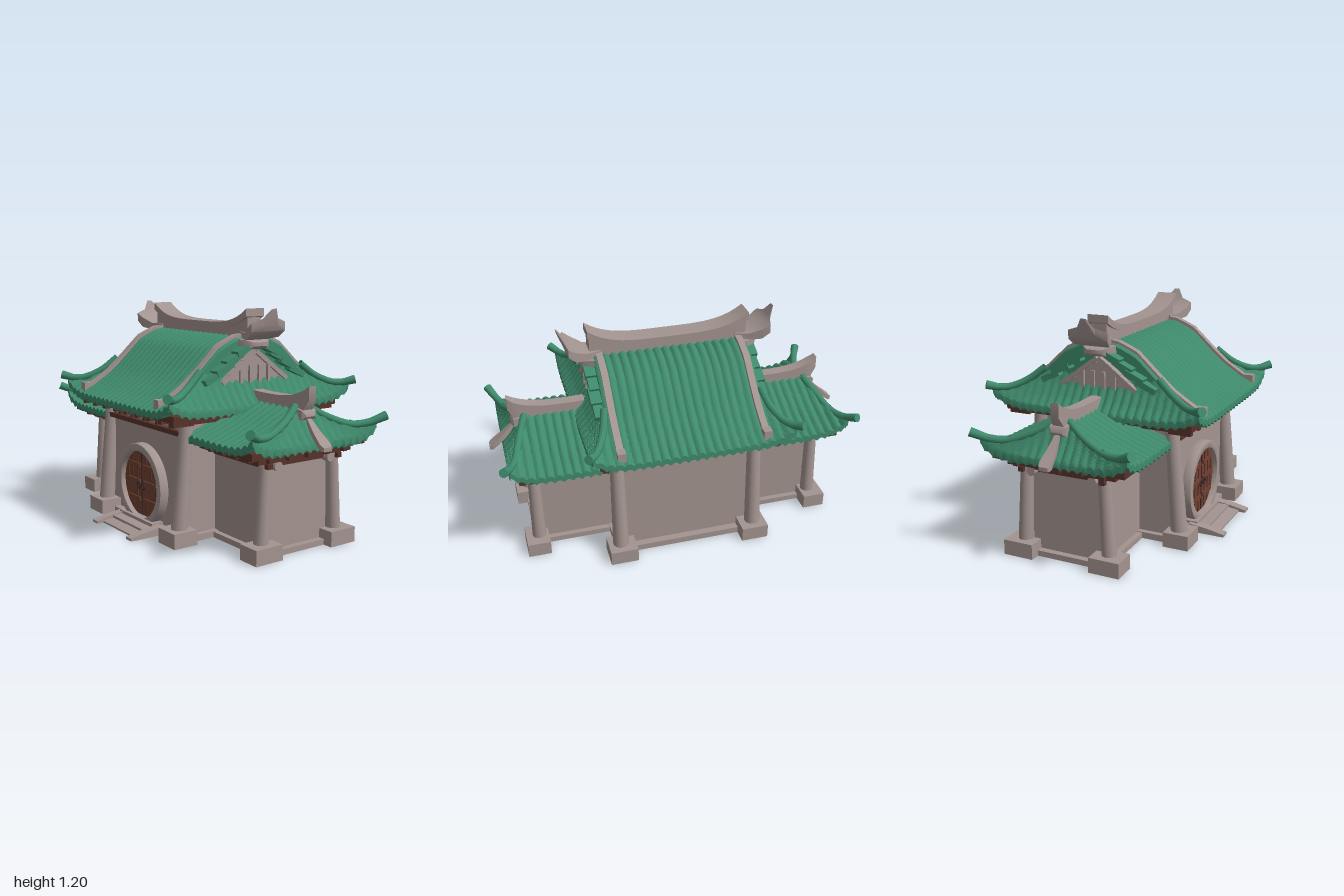
import * as THREE from 'three';
import { toCreasedNormals } from 'three/addons/utils/BufferGeometryUtils.js';

const mat = (name, color, side = THREE.FrontSide) => {
  const m = new THREE.MeshStandardMaterial({ color, side });
  m.name = name;
  return m;
};

export function createModel() {
  const model = new THREE.Group();
  model.name = 'templeGatehouse';
  const stone = mat('stone', 0xa39490);
  const green = mat('greenTile', 0x3f8a6c, THREE.DoubleSide);
  const wood = mat('darkWood', 0x58332a);
  const doorWood = mat('doorWood', 0x70402f);
  const iron = mat('iron', 0x40282a);

  const add = (name, geo, m) => {
    const mesh = new THREE.Mesh(geo, m);
    mesh.name = name;
    model.add(mesh);
    return mesh;
  };
  const box = (name, m, w, h, d, x, y, z) => {
    const b = add(name, new THREE.BoxGeometry(w, h, d), m);
    b.position.set(x, y, z);
    return b;
  };
  // tapered round post between two points
  const rod = (name, m, a, b, ra, rb) => {
    const A = new THREE.Vector3(...a), B = new THREE.Vector3(...b), d = B.clone().sub(A);
    const r = add(name, new THREE.CylinderGeometry(rb, ra, d.length(), 14), m);
    r.position.copy(A).addScaledVector(d, 0.5);
    r.quaternion.setFromUnitVectors(new THREE.Vector3(0, 1, 0), d.normalize());
  };
  const tube = (name, m, pts, r) => add(name, new THREE.TubeGeometry(
    new THREE.CatmullRomCurve3(pts.map(p => new THREE.Vector3(...p))), 24, r, 8), m);
  // rectangular sections [x, bottom, top, halfDepth] joined along +x
  const loft = (name, m, secs, turn = 0) => {
    const pos = [], idx = [], n = secs.length;
    for (const [x, b, t, w] of secs) pos.push(x, t, w, x, t, -w, x, b, -w, x, b, w);
    for (let i = 0; i < n - 1; i++) for (let k = 0; k < 4; k++) {
      const a = i * 4 + k, c = i * 4 + (k + 1) % 4;
      idx.push(a, a + 4, c, c, a + 4, c + 4);
    }
    const e = (n - 1) * 4;
    idx.push(0, 1, 2, 0, 2, 3, e, e + 2, e + 1, e, e + 3, e + 2);
    const g = new THREE.BufferGeometry();
    g.setAttribute('position', new THREE.Float32BufferAttribute(pos, 3));
    g.setIndex(idx);
    add(name, toCreasedNormals(g, 0.7), m).rotation.y = turn;
  };
  // ribbed tile surface: fn(u, t), ribs spaced along the given axis, with a lip at the eave
  const tiles = (name, fn, axis, nu, nv = 14) => {
    const pos = [], idx = [];
    for (let j = 0; j <= nv + 2; j++) for (let i = 0; i <= nu; i++) {
      const u = i / nu * 2 - 1;
      const p = fn(u, Math.min(1, j / nv));
      p.y += 0.016 * Math.abs(Math.sin(Math.PI * p[axis] / 0.047)) - 0.004;
      if (j > nv) p.y -= 0.032;
      if (j > nv + 1) { const q = fn(u, 0.88); p.x = q.x; p.z = q.z; }
      pos.push(p.x, p.y, p.z);
    }
    const w = nu + 1;
    for (let j = 0; j < nv + 2; j++) for (let i = 0; i < nu; i++) {
      const a = j * w + i;
      idx.push(a, a + w, a + 1, a + 1, a + w, a + w + 1);
    }
    const g = new THREE.BufferGeometry();
    g.setAttribute('position', new THREE.Float32BufferAttribute(pos, 3));
    g.setIndex(idx);
    add(name, toCreasedNormals(g, 0.9), green);
  };
  const profile = (pts) => (z) => {
    for (let i = 1; i < pts.length; i++) if (z <= pts[i][0] + 1e-6) {
      const [a, b] = [pts[i - 1], pts[i]];
      return a[1] + (b[1] - a[1]) * (z - a[0]) / (b[0] - a[0]);
    }
    return pts[pts.length - 1][1];
  };
  const V = (x, y, z) => new THREE.Vector3(x, y, z);
  const mainY = profile([[0, 1.04], [0.1, 1.03], [0.2, 0.985], [0.26, 0.93], [0.33, 0.865], [0.4, 0.805], [0.5, 0.74], [0.59, 0.695]]);
  const wingY = profile([[0, 0.73], [0.1, 0.685], [0.2, 0.635], [0.3, 0.595], [0.4, 0.56]]);
  const mainX = (t) => 0.42 + 0.115 * Math.pow(Math.max(0, t), 1.2);
  const lift = (u, t) => 0.065 * Math.pow(Math.abs(u), 8) * Math.pow(Math.max(0, t), 2);

  // walls and foundations
  box('mainWalls', stone, 0.74, 0.66, 0.78, 0, 0.33, 0);
  box('mainFoundation', stone, 0.8, 0.035, 0.86, 0, 0.0175, 0);
  box('wingWalls', stone, 1.57, 0.53, 0.4, 0, 0.265, 0);
  box('wingFoundation', stone, 1.64, 0.03, 0.46, 0, 0.015, 0);
  // eave boards
  box('mainEaveBoard', wood, 0.98, 0.035, 1.07, 0, 0.668, 0);
  box('mainEaveBeam', wood, 0.86, 0.03, 0.94, 0, 0.638, 0);
  box('wingEaveBoard', wood, 1.77, 0.035, 0.73, 0, 0.535, 0);
  box('wingEaveBeam', wood, 1.7, 0.04, 0.6, 0, 0.505, 0);

  for (const sz of [1, -1]) {
    // main roof slope, lintel and brackets
    tiles('mainRoofSlope', (u, t) => {
      const z = 0.59 * t, k = (z - 0.33) / 0.26;
      return V(u * mainX(k), mainY(z) + lift(u, k), z * sz);
    }, 'x', 200, 20);
    box('mainLintel', wood, 0.72, 0.026, 0.03, 0, 0.567, 0.405 * sz);
    for (let i = -2; i <= 2; i++) box('lintelPost', wood, 0.02, 0.06, 0.02, i * 0.13, 0.6, 0.4 * sz);
    for (let i = -4; i <= 4; i++) box('rafterEnd', wood, 0.03, 0.03, 0.12, i * 0.115, 0.643, 0.465 * sz);
  }

  for (const sx of [1, -1]) {
    const turn = sx > 0 ? 0 : Math.PI;
    // lower side roof of the main hall and the gable above it
    tiles('mainSideRoof', (u, t) => {
      const z = 0.33 + 0.26 * t;
      return V(sx * mainX(t), mainY(z) + lift(u, t), u * z);
    }, 'z', 200);
    const gable = new THREE.Shape();
    gable.moveTo(-0.34, 0.78);
    for (let i = -17; i <= 17; i++) gable.lineTo(i * 0.02, mainY(Math.abs(i * 0.02)));
    gable.lineTo(0.34, 0.78);
    const face = add('gableFace', new THREE.ShapeGeometry(gable), green);
    face.rotation.y = Math.PI / 2;
    face.position.x = sx * 0.416;
    loft('pediment', stone, [[0.41, 0.815, 0.83, 0.19], [0.438, 0.815, 0.83, 0.19]], turn);
    const tri = new THREE.Shape([[-0.18, 0.81], [0.18, 0.81], [0.13, 0.89], [0.05, 0.95], [-0.05, 0.95], [-0.13, 0.89]]
      .map(p => new THREE.Vector2(...p)));
    const ped = add('pedimentPanel', new THREE.ExtrudeGeometry(tri, { depth: 0.02, bevelEnabled: false }), stone);
    ped.rotation.y = sx * Math.PI / 2;
    ped.position.x = sx * 0.418;
    for (const z of [-0.09, -0.03, 0.03, 0.09])
      box('pedimentPost', stone, 0.016, 0.09, 0.018, sx * 0.444, 0.855, z);

    // side roof of the wing
    const wingX = (t) => 0.81 + 0.12 * t;
    tiles('wingSideRoof', (u, t) => V(sx * wingX(t), wingY(0.4 * t) + lift(u, t), u * 0.4 * t), 'z', 140);
    box('wingSideBeam', wood, 0.03, 0.028, 0.36, sx * 0.8, 0.47, 0);
    for (const z of [-0.24, -0.12, 0, 0.12, 0.24]) box('sideRafter', wood, 0.09, 0.03, 0.025, sx * 0.83, 0.505, z);

    // flaring horn at the end of the main ridge, and its saddle
    loft('ridgeHorn', stone, [[0.37, 1.03, 1.07, 0.05], [0.45, 1.03, 1.07, 0.07], [0.51, 1.045, 1.1, 0.1],
      [0.55, 1.08, 1.125, 0.11], [0.565, 1.11, 1.145, 0.05], [0.595, 1.185, 1.195, 0.015]], turn);
    loft('gableSaddle', stone, [[0.39, 0.98, 1.04, 0.1], [0.47, 0.985, 1.03, 0.07], [0.49, 1.0, 1.02, 0.04]], turn);

    // wing ridge with upswept end, and the spout below
    const ridge = [];
    for (let i = 0; i <= 10; i++) {
      const x = 0.4 + 0.045 * i;
      ridge.push([x, 0.715, 0.772 + 0.025 * Math.pow(Math.abs(i - 4) / 5, 3), 0.032]);
    }
    ridge.push([0.885, 0.77, 0.84, 0.022]);
    loft('wingRidge', stone, ridge, turn);
    loft('wingRidgeFoot', stone, [[0.78, 0.68, 0.735, 0.045], [0.86, 0.675, 0.72, 0.045], [0.875, 0.69, 0.7, 0.03]], turn);
    loft('wingSpout', stone, [[0.86, 0.645, 0.685, 0.012], [0.92, 0.59, 0.625, 0.024], [0.98, 0.545, 0.575, 0.034], [1, 0.54, 0.56, 0.025]], turn);

    for (const sz of [1, -1]) {
      // columns on plinths
      box('mainPlinth', stone, 0.15, 0.08, 0.14, sx * 0.375, 0.04, sz * 0.44);
      rod('mainColumn', stone, [sx * 0.38, 0.06, sz * 0.435], [sx * 0.38, 0.65, sz * 0.385], 0.044, 0.036);
      box('wingPlinth', stone, 0.125, 0.08, 0.165, sx * 0.812, 0.04, sz * 0.243);
      rod('wingColumn', stone, [sx * 0.8, 0.06, sz * 0.24], [sx * 0.8, 0.52, sz * 0.215], 0.039, 0.032);
      rod('beamEnd', stone, [sx * 0.8, 0.463, sz * 0.17], [sx * 0.845, 0.463, sz * 0.17], 0.024, 0.024);
      box('wingBeam', wood, 0.44, 0.026, 0.03, sx * 0.63, 0.468, sz * 0.225);
      for (let i = 0; i < 4; i++) box('wingRafter', wood, 0.028, 0.03, 0.08, sx * (0.5 + i * 0.1), 0.507, sz * 0.29);

      // wing roof slope
      tiles('wingRoofSlope', (u, t) => {
        const k = (u + 1) / 2;
        return V(sx * (0.4 + (wingX(t) - 0.4) * k), wingY(0.4 * t) + lift(k, t), sz * 0.4 * t);
      }, 'x', 110);

      // upturned hip rolls with round ends
      const hips = [
        [[0.42, 0.885, 0.33], [0.447, 0.815, 0.42], [0.49, 0.775, 0.51], [0.525, 0.775, 0.57], [0.56, 0.79, 0.615]],
        [[0.8, 0.735, 0.03], [0.845, 0.67, 0.14], [0.885, 0.625, 0.27], [0.925, 0.635, 0.37], [0.96, 0.665, 0.437]]];
      for (const pts of hips) {
        const p = pts.map(([x, y, z]) => [sx * x, y, sz * z]);
        tube('hipRoll', green, p, 0.02);
        rod('hipEnd', green, p[3], p[4], 0.02, 0.024);
      }

      // stone strip running down the main slope
      const strip = [];
      for (let i = 0; i <= 10; i++) {
        const z = 0.04 + 0.053 * i;
        strip.push([z, mainY(z) - 0.01, mainY(z) + 0.026, 0.018]);
      }
      loft('slopeStrip', stone, strip, -sz * Math.PI / 2);
      model.children[model.children.length - 1].position.x = sx * 0.385;
      box('stripFoot', stone, 0.045, 0.05, 0.05, sx * 0.385, 0.735, sz * 0.545);

      // stepped tile courses along the gable edge
      for (let i = 0; i < 4; i++) {
        const c = box('gableCourse', green, 0.085 - (i % 2) * 0.015, 0.03, 0.11, sx * 0.432, 0.985 - i * 0.045, sz * (0.08 + i * 0.065));
        c.rotation.x = sz * 0.42;
        const rake = box('pedimentRake', stone, 0.03, 0.022, 0.09, sx * 0.44, 0.945 - i * 0.034, sz * (0.04 + i * 0.045));
        rake.rotation.x = sz * 0.62;
      }
    }
  }

  // main ridge, sagging in the middle
  const body = [], cap = [];
  for (let i = -12; i <= 12; i++) {
    const x = i * 0.036, r = Math.pow(Math.abs(i) / 12, 4), top = 1.095 + 0.07 * r;
    body.push([x, 1.02 + 0.02 * r, top, 0.043]);
    cap.push([x * 1.02, top - 0.015, top + 0.014 + 0.012 * r, 0.058]);
  }
  loft('mainRidge', stone, body);
  loft('mainRidgeCap', stone, cap);

  // moon gate with double door
  const cx = -0.015, cy = 0.228;
  const ring = new THREE.Shape().absarc(0, 0, 0.227, 0, Math.PI * 2);
  ring.holes.push(new THREE.Path().absarc(0, 0, 0.185, 0, Math.PI * 2));
  const surround = add('moonGateSurround', toCreasedNormals(new THREE.ExtrudeGeometry(ring,
    { depth: 0.05, bevelSize: 0.006, bevelThickness: 0.006, bevelOffset: -0.006, bevelSegments: 2, curveSegments: 40 }), 0.6), stone);
  surround.position.set(cx, cy, 0.385);
  const leaf = add('doorLeaves', new THREE.CircleGeometry(0.188, 48), doorWood);
  leaf.position.set(cx, cy, 0.412);
  box('doorSeam', iron, 0.008, 0.35, 0.006, cx, cy, 0.413);
  for (const s of [1, -1]) {
    for (const [x, h] of [[0.045, 0.34], [0.095, 0.3], [0.14, 0.22]])
      box('doorStile', wood, 0.006, h, 0.006, cx + s * x, cy, 0.413);
    for (const y of [-0.09, 0.01, 0.1]) box('doorRail', doorWood, 0.125, 0.022, 0.009, cx + s * 0.08, cy + y, 0.416);
    const pull = add('doorPull', new THREE.TorusGeometry(0.016, 0.005, 8, 20), iron);
    pull.position.set(cx + s * 0.022, cy - 0.01, 0.422);
  }

  // doorstep and sloping apron with side rails
  box('threshold', stone, 0.34, 0.05, 0.07, cx, 0.025, 0.425);
  box('doorStep', stone, 0.4, 0.032, 0.1, 0, 0.016, 0.47);
  loft('apron', stone, [[0.45, 0, 0.028, 0.17], [0.58, 0, 0.01, 0.17]], -Math.PI / 2);
  for (const s of [1, -1]) {
    loft('apronRail', stone, [[0.42, 0, 0.045, 0.026], [0.52, 0, 0.034, 0.026], [0.62, 0, 0.014, 0.026]], -Math.PI / 2);
    model.children[model.children.length - 1].position.x = s * 0.185;
  }
  return model;
}
